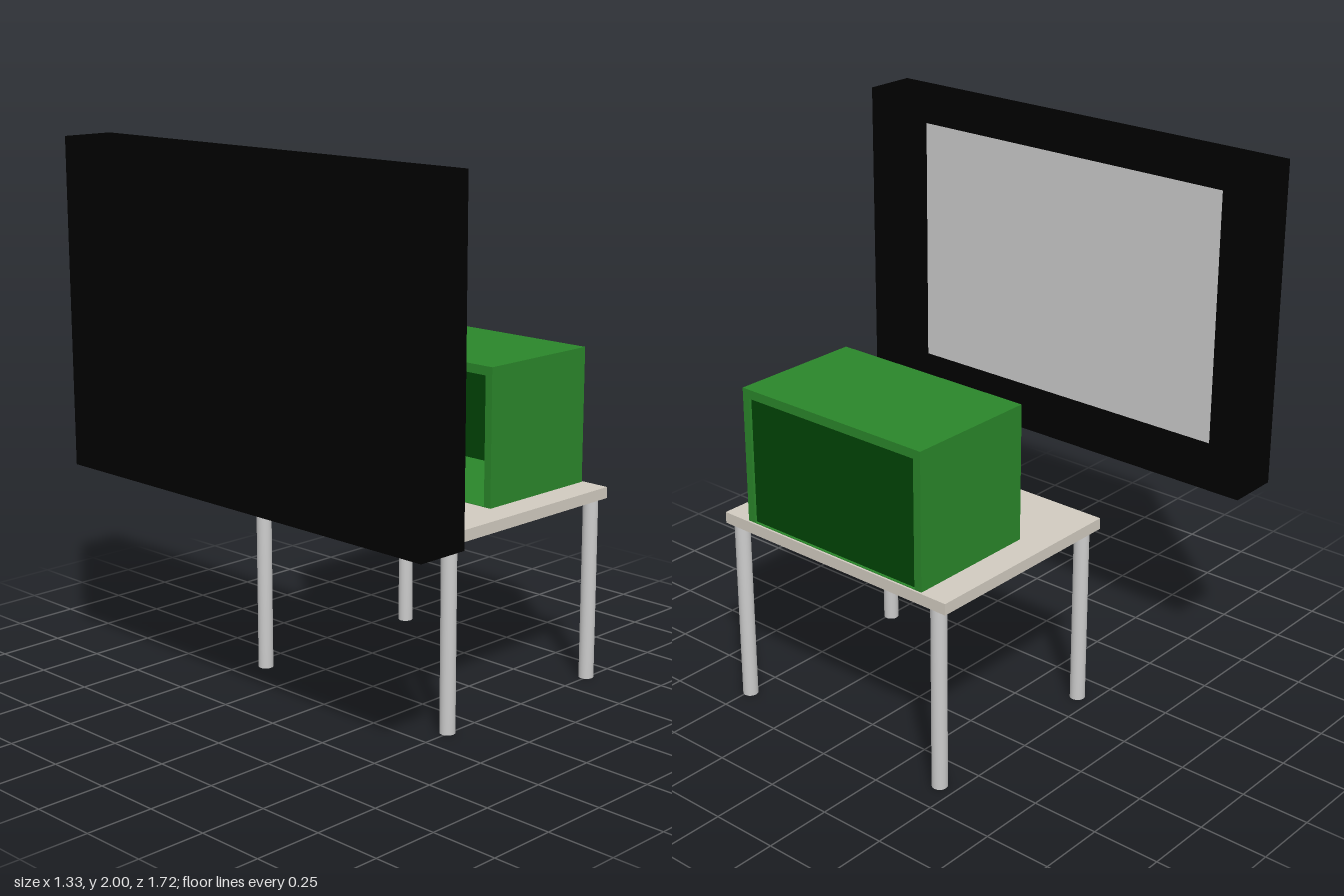
import * as THREE from 'three';
import { mergeVertices } from 'three/addons/utils/BufferGeometryUtils.js';

const mat = (color) => new THREE.MeshStandardMaterial({ color });

// Box given by its min and max corners
function box(name, material, [x0, y0, z0], [x1, y1, z1]) {
  const mesh = new THREE.Mesh(new THREE.BoxGeometry(x1 - x0, y1 - y0, z1 - z0), material);
  mesh.position.set((x0 + x1) / 2, (y0 + y1) / 2, (z0 + z1) / 2);
  mesh.name = name;
  return mesh;
}

// Rectangular tube running along x, walls given by outer and inner rectangles in z and y
function tube(name, material, x0, x1, outer, inner) {
  const rect = (path, [z0, y0, z1, y1]) =>
    path.moveTo(-z1, y0).lineTo(-z0, y0).lineTo(-z0, y1).lineTo(-z1, y1).closePath();
  const shape = rect(new THREE.Shape(), outer);
  shape.holes.push(rect(new THREE.Path(), inner));
  const geometry = new THREE.ExtrudeGeometry(shape, { depth: x1 - x0, bevelEnabled: false });
  geometry.rotateY(Math.PI / 2);
  const mesh = new THREE.Mesh(geometry, material);
  mesh.position.x = x0;
  mesh.name = name;
  return mesh;
}

// Round leg with normals smoothed over its rims
function legGeometry() {
  const geometry = new THREE.CylinderGeometry(0.028, 0.028, 0.7, 24);
  geometry.deleteAttribute('normal');
  geometry.deleteAttribute('uv');
  const merged = mergeVertices(geometry);
  merged.computeVertexNormals();
  return merged;
}

export function createModel() {
  const model = new THREE.Group();
  const grey = mat(0xcccccc);
  const black = mat(0x000000);
  const green = mat(0x2a862a);
  const darkGreen = mat(0x004405);
  const stone = mat(0xd1cbc0);

  // Wall display: deep black frame, back plate and recessed screen
  const display = new THREE.Group();
  display.name = 'display';
  display.add(
    tube('displayFrame', black, -0.665, -0.468, [-0.862, 0.81, 0.862, 2], [-0.732, 0.905, 0.732, 1.91]),
    box('displayBack', black, [-0.664, 0.904, -0.733], [-0.645, 1.911, 0.733]),
    box('screen', grey, [-0.646, 0.904, -0.733], [-0.63, 1.911, 0.733])
  );
  model.add(display);

  // Table with four round legs
  const table = new THREE.Group();
  table.name = 'table';
  table.add(box('tableTop', stone, [-0.165, 0.693, -0.493], [0.663, 0.735, 0.542]));
  const legShape = legGeometry();
  for (const x of [-0.133, 0.631]) {
    for (const z of [-0.437, 0.493]) {
      const leg = new THREE.Mesh(legShape, grey);
      leg.position.set(x, 0.35, z);
      leg.name = 'tableLeg';
      table.add(leg);
    }
  }
  model.add(table);

  // Green cabinet, open towards the display, floor level with the table top
  const cabinet = new THREE.Group();
  cabinet.name = 'cabinet';
  cabinet.add(
    tube('cabinetShell', green, 0.147, 0.655, [-0.383, 0.705, 0.431, 1.24], [-0.352, 0.737, 0.401, 1.207]),
    box('cabinetPanel', darkGreen, [0.63, 0.736, -0.353], [0.645, 1.208, 0.402])
  );
  model.add(cabinet);

  return model;
}
